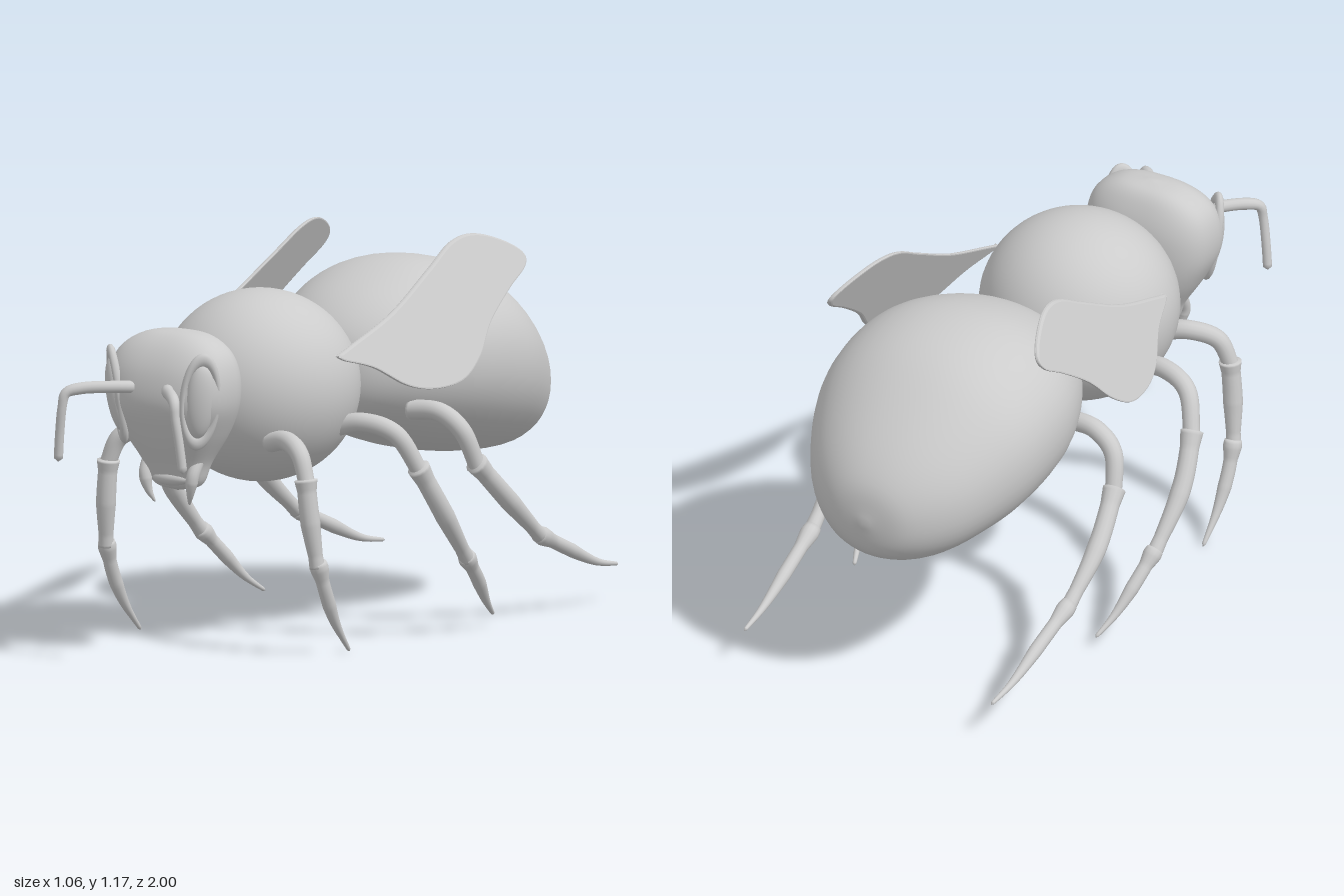
import * as THREE from 'three';
import { mergeVertices } from 'three/addons/utils/BufferGeometryUtils.js';

const material = new THREE.MeshStandardMaterial({ color: 0xcccccc });
const V = (p) => new THREE.Vector3(...p);

function part(name, geometry, parent) {
  const mesh = new THREE.Mesh(geometry, material);
  mesh.name = name;
  parent.add(mesh);
  return mesh;
}

// Weld seams and recompute normals
function smooth(geometry) {
  geometry.deleteAttribute('uv');
  geometry.deleteAttribute('normal');
  const g = mergeVertices(geometry, 1e-5);
  g.computeVertexNormals();
  return g;
}

// Sphere reshaped by rows of [height, front, back, half width], top row first
function loft(rows, exponent) {
  const n = 48;
  const g = new THREE.SphereGeometry(1, n, n);
  const outline = new THREE.CatmullRomCurve3(rows.map((r) => V(r.slice(0, 3))), false, 'catmullrom');
  const widths = new THREE.CatmullRomCurve3(rows.map((r) => V([r[3], 0, 0])), false, 'catmullrom');
  const shape = (v) => Math.sign(v) * Math.abs(v) ** (2 / exponent);
  const p = g.attributes.position;
  for (let i = 0; i < p.count; i++) {
    const t = Math.floor(i / (n + 1)) / n;
    const a = ((i % (n + 1)) / n) * Math.PI * 2;
    const o = outline.getPoint(t);
    const w = widths.getPoint(t).x;
    p.setXYZ(i, -w * shape(Math.cos(a)), o.x, (o.y + o.z) / 2 + (o.y - o.z) / 2 * shape(Math.sin(a)));
  }
  return g;
}

// Tube whose radius follows stops of [t, radius]
function taperedTube(points, stops) {
  const n = 40, sides = 14;
  const curve = new THREE.CatmullRomCurve3(points.map(V));
  const g = new THREE.TubeGeometry(curve, n, 1, sides);
  const p = g.attributes.position;
  const v = new THREE.Vector3();
  for (let i = 0; i < p.count; i++) {
    const t = Math.floor(i / (sides + 1)) / n;
    const k = Math.max(1, stops.findIndex((s) => s[0] >= t - 1e-9));
    const [t0, r0] = stops[k - 1], [t1, r1] = stops[k];
    const r = THREE.MathUtils.mapLinear(t, t0, t1, r0, r1);
    const c = curve.getPointAt(t);
    v.fromBufferAttribute(p, i).sub(c).multiplyScalar(r).add(c);
    p.setXYZ(i, v.x, v.y, v.z);
  }
  return smooth(g);
}

// Leg in three jointed pieces, with flared cuffs at the joints
function addLeg(name, { thigh, shin, foot }, parent) {
  const leg = new THREE.Group();
  leg.name = name;
  part('thigh', taperedTube(thigh, [[0, 0], [0.025, 0.03], [0.5, 0.029], [1, 0.025]]), leg);
  part('shin', taperedTube(shin, [[0, 0], [0.025, 0.035], [0.15, 0.029], [0.5, 0.03], [0.85, 0.022], [0.975, 0.024], [1, 0]]), leg);
  part('foot', taperedTube(foot, [[0, 0], [0.025, 0.026], [0.08, 0.029], [0.2, 0.021], [0.45, 0.021], [0.8, 0.01], [0.975, 0.006], [1, 0]]), leg);
  parent.add(leg);
}

// Thin leaning wing, drawn in the side plane and sheared outward
function wingGeometry() {
  const outline = [
    [-0.27, 0.88], [-0.2, 0.905], [0, 0.98], [0.2, 1.085], [0.33, 1.155], [0.43, 1.17], [0.53, 1.14],
    [0.585, 1.1], [0.57, 1.06], [0.48, 1.005], [0.36, 0.92], [0.27, 0.83], [0.17, 0.77], [0.05, 0.755],
    [-0.05, 0.775], [-0.15, 0.835], [-0.25, 0.865],
  ].map((q) => new THREE.Vector2(...q));
  const shape = new THREE.Shape().moveTo(outline[0].x, outline[0].y);
  shape.splineThru([...outline.slice(1), outline[0]]);
  const g = new THREE.ExtrudeGeometry(shape, {
    depth: 0.006, bevelEnabled: true, bevelThickness: 0.005, bevelSize: 0.005, bevelOffset: -0.005, bevelSegments: 2, curveSegments: 60,
  });
  g.rotateY(Math.PI / 2);
  const p = g.attributes.position;
  for (let i = 0; i < p.count; i++) {
    p.setX(i, p.getX(i) + 0.78 - 0.497 * p.getY(i) - 0.206 * p.getZ(i));
  }
  g.computeVertexNormals();
  return g;
}

// Everything that exists once per side, built on +x
function buildSide(name) {
  const side = new THREE.Group();
  side.name = name;

  addLeg('frontLeg', {
    thigh: [[0.17, 0.63, 0.45], [0.25, 0.645, 0.475], [0.33, 0.615, 0.515], [0.368, 0.53, 0.53]],
    shin: [[0.363, 0.55, 0.53], [0.376, 0.42, 0.525], [0.39, 0.27, 0.505]],
    foot: [[0.39, 0.3, 0.507], [0.393, 0.2, 0.47], [0.39, 0.1, 0.415], [0.385, 0.005, 0.335]],
  }, side);
  addLeg('middleLeg', {
    thigh: [[0.22, 0.65, 0.21], [0.33, 0.675, 0.195], [0.43, 0.645, 0.165], [0.485, 0.52, 0.105]],
    shin: [[0.478, 0.55, 0.12], [0.5, 0.4, 0.02], [0.488, 0.23, -0.13]],
    foot: [[0.49, 0.255, -0.11], [0.47, 0.17, -0.2], [0.445, 0.09, -0.28], [0.42, 0.04, -0.35]],
  }, side);
  addLeg('hindLeg', {
    thigh: [[0.22, 0.66, -0.19], [0.33, 0.66, -0.2], [0.4, 0.61, -0.215], [0.43, 0.49, -0.26]],
    shin: [[0.427, 0.515, -0.245], [0.45, 0.38, -0.39], [0.447, 0.25, -0.56]],
    foot: [[0.447, 0.265, -0.535], [0.44, 0.2, -0.7], [0.435, 0.14, -0.86], [0.43, 0.12, -0.975]],
  }, side);

  part('wing', wingGeometry(), side);

  // Antenna with a bent elbow
  part('antenna', taperedTube(
    [[0.05, 0.82, 0.8], [0.1, 0.825, 0.87], [0.17, 0.823, 0.945], [0.2, 0.81, 0.975], [0.208, 0.77, 0.982], [0.22, 0.69, 0.978], [0.23, 0.6, 0.972]],
    [[0, 0], [0.025, 0.019], [0.45, 0.018], [0.6, 0.014], [0.975, 0.014], [1, 0]]), side);

  // Eye and its raised rim
  const eye = new THREE.Group();
  eye.name = 'eye';
  eye.position.set(0.152, 0.79, 0.778);
  eye.rotation.set(0.06, 0.8, -0.14, 'ZXY');
  part('eyeball', new THREE.SphereGeometry(1, 32, 24), eye).scale.set(0.045, 0.115, 0.033);
  part('eyeRim', new THREE.TorusGeometry(0.054, 0.009, 12, 48), eye).scale.set(1, 2.4, 1.4);
  side.add(eye);

  part('mandible', taperedTube(
    [[0.09, 0.6, 0.7], [0.087, 0.55, 0.725], [0.077, 0.5, 0.722], [0.063, 0.463, 0.708]],
    [[0, 0], [0.025, 0.02], [0.5, 0.019], [0.975, 0.004], [1, 0]]), side);
  return side;
}

export function createModel() {
  const model = new THREE.Group();
  model.name = 'bee';

  const thorax = part('thorax', new THREE.SphereGeometry(1, 48, 36), model);
  thorax.scale.set(0.303, 0.29, 0.3);
  thorax.position.set(0, 0.77, 0.26);

  // Abdomen rows: z, top, bottom, half width
  const abdomen = [
    [-0.04, 0.78, 0.78, 0], [-0.07, 0.9, 0.66, 0.145], [-0.18, 1.0, 0.585, 0.272], [-0.356, 1.07, 0.52, 0.36],
    [-0.52, 1.075, 0.482, 0.38], [-0.684, 1.02, 0.462, 0.355], [-0.86, 0.885, 0.46, 0.265], [-0.97, 0.755, 0.515, 0.14], [-1, 0.63, 0.63, 0],
  ].map(([z, top, bottom, w]) => [z, -bottom, -top, w]);
  part('abdomen', smooth(loft(abdomen, 2.1).rotateX(Math.PI / 2)), model);

  part('head', smooth(loft([
    [0.99, 0.68, 0.68, 0], [0.975, 0.74, 0.625, 0.105], [0.93, 0.79, 0.59, 0.178], [0.86, 0.825, 0.565, 0.208],
    [0.77, 0.835, 0.558, 0.205], [0.68, 0.803, 0.567, 0.165], [0.59, 0.755, 0.605, 0.11], [0.52, 0.715, 0.64, 0.08], [0.5, 0.68, 0.68, 0],
  ], 2.6)), model);

  // Upper lip between the mandibles
  const lip = part('lip', new THREE.SphereGeometry(1, 24, 16), model);
  lip.scale.set(0.065, 0.022, 0.025);
  lip.position.set(0, 0.54, 0.715);

  // Short joints between the body sections
  for (const [name, y, z] of [['neck', 0.77, 0.56], ['waist', 0.775, -0.04]]) {
    const joint = part(name, new THREE.CylinderGeometry(0.06, 0.06, 0.1, 24), model);
    joint.rotation.x = Math.PI / 2;
    joint.position.set(0, y, z);
  }

  const right = buildSide('rightSide');
  right.scale.x = -1;
  model.add(buildSide('leftSide'), right);
  return model;
}
